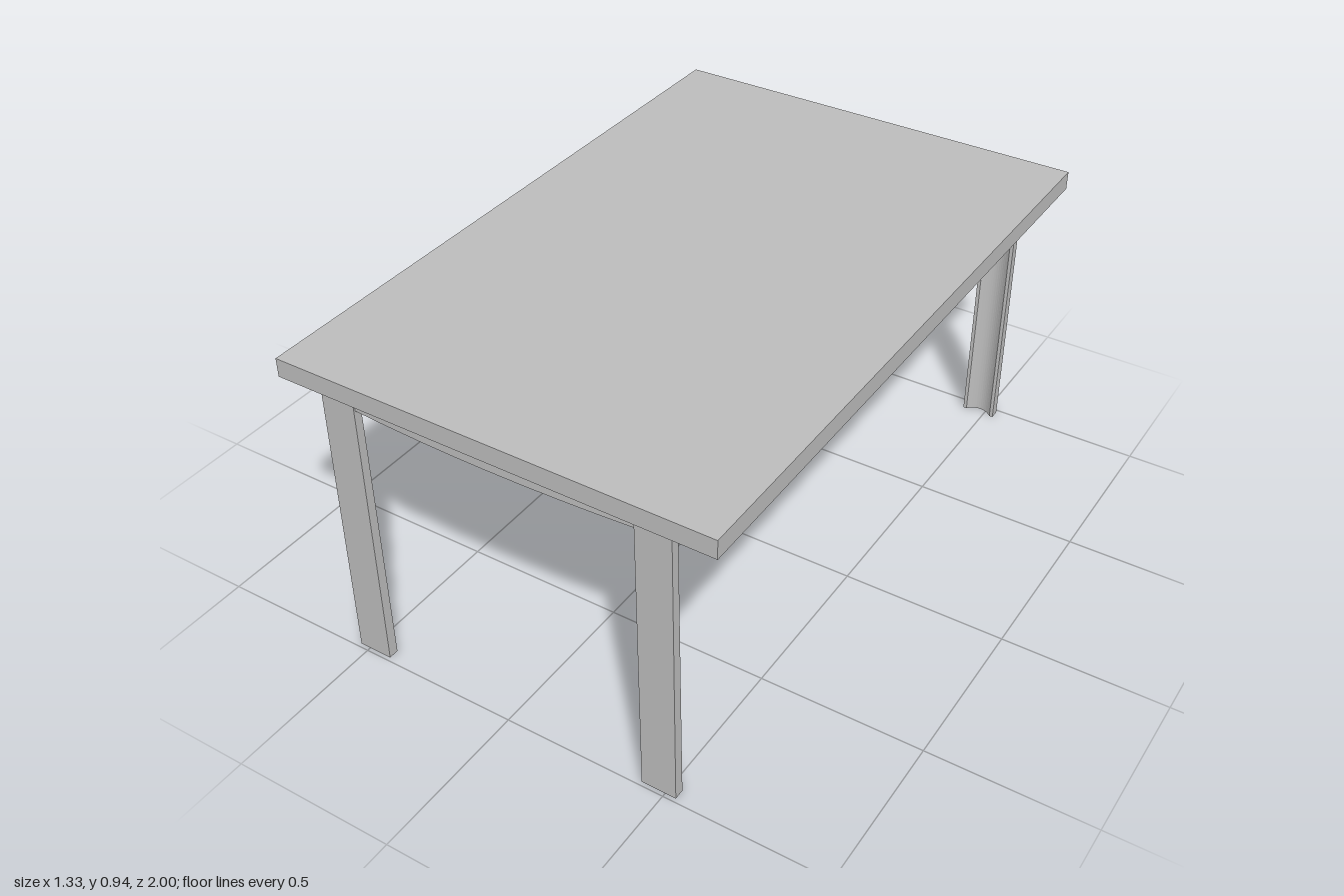
import * as THREE from 'three';

const TOP_UNDER = 0.888;

export function createModel() {
  const table = new THREE.Group();
  table.name = 'table';
  const grey = new THREE.MeshStandardMaterial({ color: 0xbcbcbc });
  grey.name = 'plain grey';

  const add = (name, geometry) => {
    const mesh = new THREE.Mesh(geometry, grey);
    mesh.name = name;
    table.add(mesh);
    return mesh;
  };

  // Extrudes a plan drawn in x and z downwards from a given height
  const drop = (plan, top, depth) =>
    new THREE.ExtrudeGeometry(plan, { depth, bevelEnabled: false, curveSegments: 12 })
      .rotateX(Math.PI / 2)
      .translate(0, top, 0);

  // Table top slab
  add('tableTop', new THREE.BoxGeometry(1.33, 0.057, 2)).position.set(-0.002, TOP_UNDER + 0.0285, 0);

  // Under panel with gently bowed short ends
  const panel = new THREE.Shape();
  panel.moveTo(-0.639, -0.965);
  panel.quadraticCurveTo(0, -1.007, 0.637, -0.965);
  panel.lineTo(0.637, 0.965);
  panel.quadraticCurveTo(0, 1.031, -0.639, 0.965);
  panel.closePath();
  add('underPanel', drop(panel, TOP_UNDER, 0.026));

  // Leg section: flat outside, hollowed inside between two narrow lips
  const outer = 0.988, inner = 0.962;
  const section = new THREE.Shape();
  section.moveTo(0.427, outer);
  section.lineTo(0.427, inner);
  section.lineTo(0.438, inner);
  section.quadraticCurveTo(0.48, inner + 0.036, 0.522, inner);
  section.lineTo(0.533, inner);
  section.lineTo(0.533, outer);
  section.closePath();

  // The legs grow slightly thicker towards the floor, on the inside only
  const legGeometry = drop(section, TOP_UNDER, TOP_UNDER);
  const p = legGeometry.attributes.position;
  for (let i = 0; i < p.count; i++) {
    const swell = 1 + 0.2 * (1 - p.getY(i) / TOP_UNDER);
    p.setZ(i, outer - (outer - p.getZ(i)) * swell);
  }
  legGeometry.computeVertexNormals();

  // Four legs: two positions along x, each turned round for the back
  for (const [end, turn] of [['front', 0], ['back', Math.PI]]) {
    for (const [side, shift] of [['A', 0], ['B', -0.96]]) {
      const geometry = legGeometry.clone().translate(shift, 0, 0).rotateY(turn);
      const isLeft = (shift === 0) === (turn === 0);
      add(end + (isLeft ? 'Left' : 'Right') + 'Leg', geometry);
    }
  }

  return table;
}
